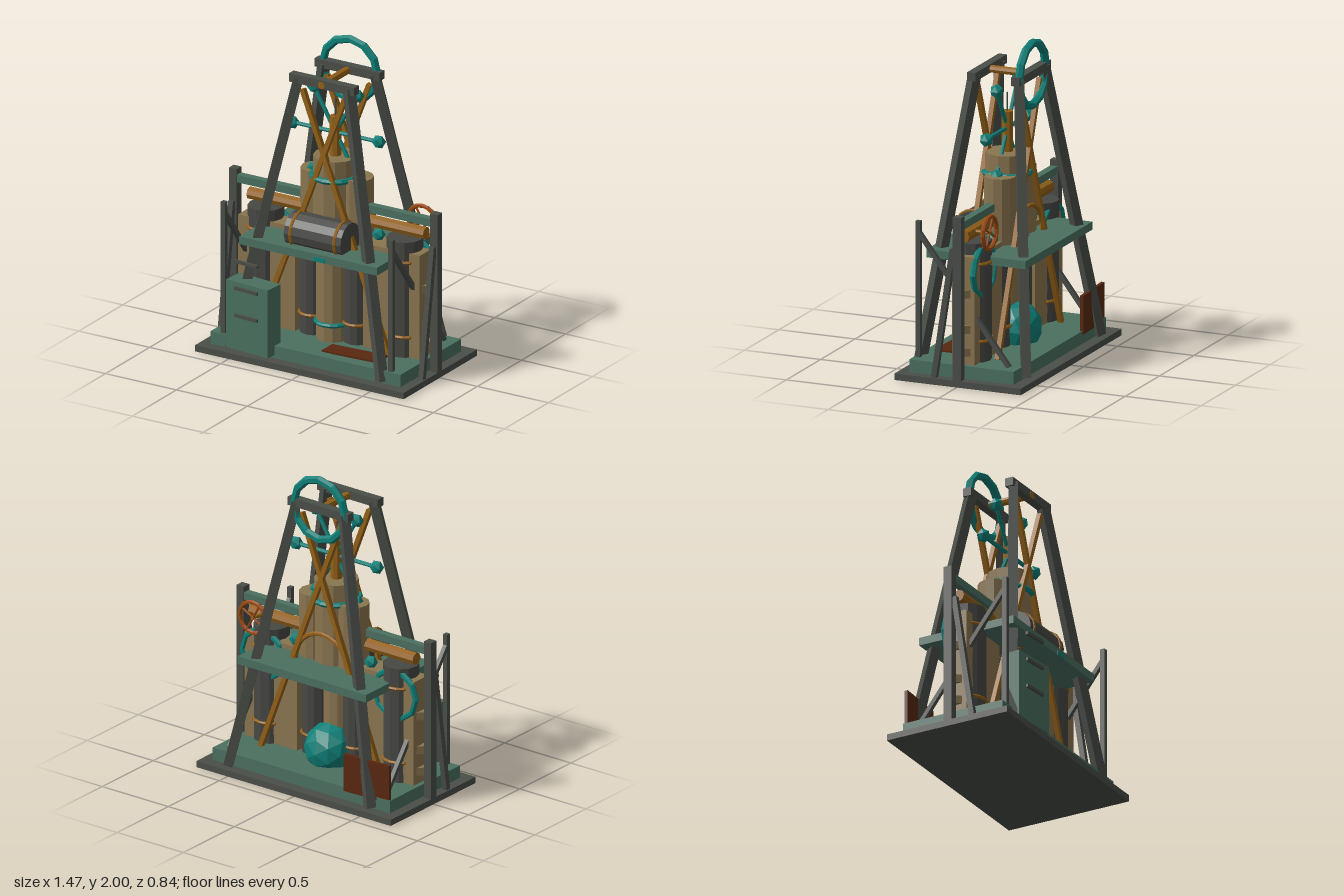
import * as THREE from 'three';

export function createModel() {
  const root = new THREE.Group();
  const M = (name, color) => {
    const m = new THREE.MeshStandardMaterial({ color, flatShading: true });
    m.name = name;
    return m;
  };
  const iron = M('iron grey', 0x4a4e48);
  const tank = M('dark tank', 0x474844);
  const green = M('painted green', 0x4a7060);
  const beige = M('aged beige', 0x8a7550);
  const brass = M('brass', 0x946118);
  const teal = M('teal', 0x0f8078);
  const copper = M('copper', 0x9a4a14);
  const rust = M('dark rust', 0x592810);

  const add = (name, geo, mat, x = 0, y = 0, z = 0) => {
    const m = new THREE.Mesh(geo, mat);
    m.name = name;
    m.position.set(x, y, z);
    root.add(m);
    return m;
  };
  // box from min and max corners
  const box = (name, mat, x0, x1, y0, y1, z0, z1) =>
    add(name, new THREE.BoxGeometry(x1 - x0, y1 - y0, z1 - z0), mat, (x0 + x1) / 2, (y0 + y1) / 2, (z0 + z1) / 2);
  // upright cylinder between two heights
  const drum = (name, mat, x, z, r, y0, y1, n = 12) =>
    add(name, new THREE.CylinderGeometry(r, r, y1 - y0, n), mat, x, (y0 + y1) / 2, z);
  // ring lying flat around an upright drum
  const band = (name, mat, x, y, z, r, t = 0.012) => {
    const m = add(name, new THREE.TorusGeometry(r, t, 6, 16), mat, x, y, z);
    m.rotation.x = Math.PI / 2;
    return m;
  };
  // square bar or round rod between two points
  const strut = (name, mat, a, b, w, round = false) => {
    const A = new THREE.Vector3(...a), B = new THREE.Vector3(...b), len = A.distanceTo(B);
    const geo = round ? new THREE.CylinderGeometry(w, w, len, 8).rotateX(Math.PI / 2) : new THREE.BoxGeometry(w, w, len);
    const m = add(name, geo, mat);
    m.position.copy(A).add(B).multiplyScalar(0.5);
    m.lookAt(B);
    return m;
  };
  const ball = (name, mat, x, y, z, r) => add(name, new THREE.IcosahedronGeometry(r, 0), mat, x, y, z);

  // Base, deck and raised platform
  box('base', iron, -0.735, 0.735, 0, 0.04, -0.42, 0.41);
  box('deck', green, -0.67, 0.67, 0.04, 0.12, -0.345, 0.34);
  box('platform', green, -0.485, 0.485, 0.71, 0.76, -0.34, 0.312);
  box('platformMark', teal, 0.04, 0.12, 0.712, 0.74, 0.308, 0.316);

  // Derrick: four leaning legs, head bars, crossed braces
  for (const s of [-1, 1]) {
    strut('frontLeg', iron, [s * 0.535, 0.05, 0.335], [s * 0.178, 1.79, 0.133], 0.058);
    strut('backLeg', iron, [s * 0.535, 0.05, -0.365], [s * 0.178, 1.79, -0.157], 0.058);
    strut('frontCrossBrace', brass, [s * 0.15, 1.72, 0.13], [-s * 0.46, 0.12, 0.13], 0.03);
    strut('backCrossBrace', brass, [s * 0.15, 1.72, -0.145], [-s * 0.46, 0.12, -0.145], 0.03);
  }
  for (const z of [0.133, -0.157]) box('headBar', iron, -0.23, 0.23, 1.76, 1.813, z - 0.027, z + 0.027);
  strut('headBeam', brass, [0, 1.783, -0.13], [0, 1.783, 0.163], 0.024, true);
  add('crownRing', new THREE.TorusGeometry(0.194, 0.026, 6, 12), teal, 0, 1.78, -0.165);

  // Central column with side drums and spire
  drum('lowerColumn', beige, 0, 0.03, 0.1, 0.1, 0.72);
  drum('upperColumn', beige, 0, 0, 0.135, 0.74, 1.285);
  band('upperCollar', teal, 0, 1.16, 0, 0.142, 0.018);
  band('lowerCollar', teal, 0, 0.23, 0.03, 0.105, 0.014);
  drum('spire', brass, 0, 0, 0.036, 1.28, 1.535, 8);
  drum('spireNeedle', iron, 0, 0, 0.006, 1.53, 1.65, 6);
  add('coreCrystal', new THREE.IcosahedronGeometry(0.16, 1), teal, 0, 0.2, -0.06);
  for (const s of [-1, 1]) {
    drum('innerTank', tank, s * 0.155, 0, 0.085, 0.12, 0.72);
    for (const y of [0.245, 0.64]) band('innerTankBand', brass, s * 0.155, y, 0, 0.086, 0.011);
    drum('shoulderDrum', beige, s * 0.145, -0.02, 0.097, 0.74, 1.17);
  }

  // Star of rods with knobs around the spire
  for (let i = 0; i < 3; i++) {
    const c = 0.305 * Math.cos(i * Math.PI / 3), d = 0.305 * Math.sin(i * Math.PI / 3);
    strut('starRod', teal, [-c, 1.43 - d, 0], [c, 1.43 + d, 0], 0.013, true);
    for (const s of [-1, 1]) ball('starKnob', teal, s * c, 1.43 + s * d, 0, 0.044);
  }

  // Horizontal boiler on the platform
  const boiler = add('boiler', new THREE.CylinderGeometry(0.112, 0.112, 0.4, 14), tank, 0, 0.823, 0.155);
  boiler.rotation.z = Math.PI / 2;
  for (const x of [-0.155, 0.155]) {
    const b = add('boilerBand', new THREE.TorusGeometry(0.112, 0.011, 6, 16), brass, x, 0.823, 0.155);
    b.rotation.y = Math.PI / 2;
  }

  // Arched guard behind the column
  add('rearArch', new THREE.TorusGeometry(0.2, 0.014, 6, 12, Math.PI), brass, 0, 0.76, -0.14);

  // Side assemblies
  for (const s of [-1, 1]) {
    const x = s * 0.49;
    drum('outerTank', tank, x, 0, 0.11, 0.12, 0.86);
    for (const y of [0.25, 0.73]) band('outerTankBand', brass, x, y, 0, 0.111, 0.011);
    box('sideCasing', beige, s * 0.44 - 0.2, s * 0.44 + 0.2, 0.1, 0.79, -0.075, 0.075);
    for (const y of [0.2, 0.34, 0.56]) {
      const f = add('casingFlange', new THREE.CylinderGeometry(0.19, 0.19, 0.05, 8), beige, x, y, 0);
      f.scale.z = 0.48;
    }
    add('valveRing', new THREE.TorusGeometry(0.155, 0.02, 6, 10), teal, s * 0.5, 0.68, -0.07);
    ball('pressureKnob', teal, s * 0.285, 0.82, -0.03, 0.042);

    // End posts and their stays
    box('endPost', iron, s * 0.708 - 0.027, s * 0.708 + 0.027, 0.04, 1.055, -0.027, 0.027);
    strut('endPostStay', iron, [s * 0.708, 0.85, 0.035], [s * 0.708, 0.04, 0.158], 0.034);
    box('frontPost', iron, s * 0.59 - 0.015, s * 0.59 + 0.015, 0.04, 0.965, 0.3, 0.33);
    strut('diagonalStay', iron, [s * 0.59, 0.89, 0.31], [s * 0.59, 0.12, -0.28], 0.027);
  }
  box('topRail', green, -0.69, 0.69, 0.97, 1.018, -0.024, 0.024);
  strut('mainPipe', brass, [-0.605, 0.912, 0], [0.64, 0.912, 0], 0.039, true);

  // Hand wheel
  add('handWheel', new THREE.TorusGeometry(0.1, 0.014, 6, 16), copper, 0.535, 0.925, -0.125);
  strut('wheelAxle', brass, [0.52, 0.92, 0], [0.535, 0.925, -0.135], 0.012, true);
  for (let i = 0; i < 2; i++) {
    const c = 0.1 * Math.cos(0.5 + i * Math.PI / 2), d = 0.1 * Math.sin(0.5 + i * Math.PI / 2);
    strut('wheelSpoke', copper, [0.535 - c, 0.925 - d, -0.125], [0.535 + c, 0.925 + d, -0.125], 0.007, true);
  }

  // Cabinet with handles, turned slightly
  const cabinet = new THREE.Group();
  cabinet.name = 'cabinet';
  cabinet.position.set(-0.375, 0, 0.328);
  cabinet.rotation.y = -0.09;
  const body = box('cabinetBody', green, -0.155, 0.155, 0.06, 0.497, -0.065, 0.065);
  cabinet.add(body);
  for (const y of [0.285, 0.46, 0.633]) cabinet.add(box('cabinetHandle', iron, -0.085, 0.085, y - 0.01, y + 0.01, 0.064, 0.08));
  root.add(cabinet);

  // Loose rusty plates
  const plate = box('rearPlate', rust, -0.66, -0.325, 0.1, 0.34, -0.348, -0.326);
  plate.rotation.y = 0.04;
  const plank = box('deckPlate', rust, 0.07, 0.46, 0.122, 0.134, 0.15, 0.27);
  plank.rotation.z = 0.025;

  return root;
}
